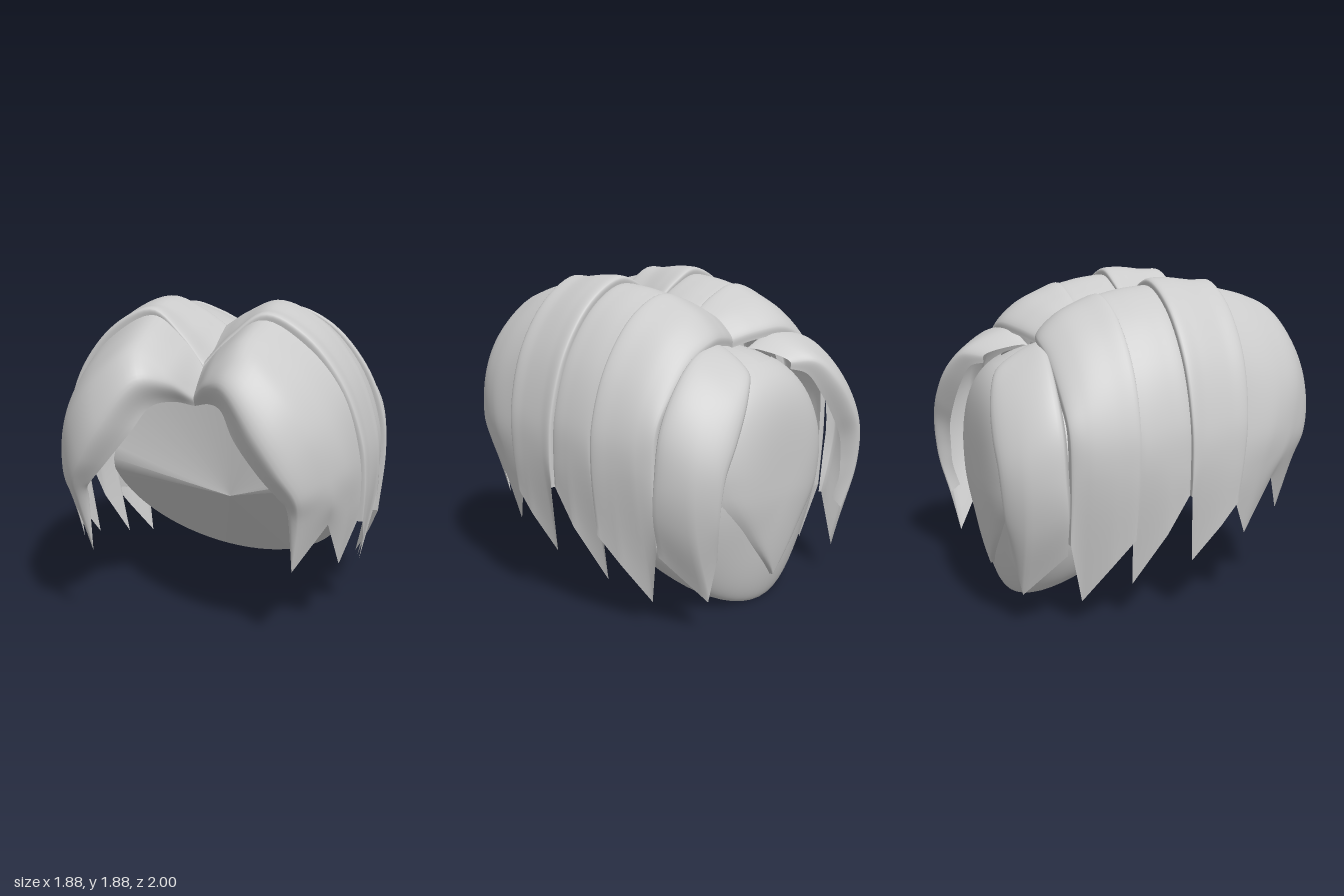
import * as THREE from 'three';

const V = (x, y, z) => new THREE.Vector3(x, y, z);
const hairMat = new THREE.MeshStandardMaterial({ color: 0xcccccc, side: THREE.DoubleSide });

// Surface from a rule f(u, v), u and v in 0..1
function gridMesh(name, nu, nv, f, flip = false) {
  const pos = [], idx = [];
  for (let i = 0; i <= nu; i++)
    for (let j = 0; j <= nv; j++) pos.push(...f(i / nu, j / nv).toArray());
  for (let i = 0; i < nu; i++)
    for (let j = 0; j < nv; j++) {
      const a = i * (nv + 1) + j, b = a + nv + 1;
      if (flip) idx.push(a, b, a + 1, b, b + 1, a + 1);
      else idx.push(a, a + 1, b, b, a + 1, b + 1);
    }
  const g = new THREE.BufferGeometry();
  g.setAttribute('position', new THREE.Float32BufferAttribute(pos, 3));
  g.setIndex(idx);
  g.computeVertexNormals();
  const mesh = new THREE.Mesh(g, hairMat);
  mesh.name = name;
  return mesh;
}

// Lock lofted through strand curves, smooth on top and sharply pointed at the ends
function lock(name, strands, side) {
  const curves = strands.map(s => new THREE.CatmullRomCurve3(s.map(p => V(...p))));
  const rows = 44, n = curves.length - 1;
  const cache = [];
  for (let j = 0; j <= rows; j++) {
    const pts = curves.map(c => c.getPoint(j / rows));
    cache.push({ pts, across: new THREE.CatmullRomCurve3(pts) });
  }
  return gridMesh(name, n * 7, rows, (u, v) => {
    const { pts, across } = cache[Math.round(v * rows)];
    const k = Math.min(Math.floor(u * n + 1e-6), n - 1);
    const straight = pts[k].clone().lerp(pts[k + 1], u * n - k);
    const p = across.getPoint(u).lerp(straight, v ** 4);
    p.x *= side;
    return p;
  }, side < 0);
}

// Arched strand: [z, half width, crown height, parting height, end z, end y, parting z]
function strand([z, w, top, yc, ze, ye, zc = z], tuck = 0) {
  const W = w - tuck, T = top - tuck, f = (T - 0.9) / 0.98, k = W / 0.94;
  const h = y => 0.9 + f * (y - 0.9), mix = t => z + (ze - z) * t;
  const xe = W * (1 - 0.35 * Math.max(0, 0.85 - ye) ** 2);
  return [
    [0, yc - tuck, zc], [0.14, (yc - tuck + T) / 2 + 0.01, (z + zc) / 2], [0.33, T, z],
    [0.58 * k, h(1.77), z], [0.8 * k, h(1.5), mix(0.1)], [0.92 * k, 1.15, mix(0.4)],
    [W, 0.9, mix(0.7)], [xe, ye, ze],
  ];
}

// Arched locks, each listed from its front edge to its back edge
const bands = {
  crownLock: [
    [0.42, 0.915, 1.85, 1.56, 0.33, 0.66, 0.5], [0.3, 0.925, 1.86, 1.61, 0.23, 0.53],
    [0.14, 0.935, 1.88, 1.68, 0.07, 0.33], [0.03, 0.94, 1.87, 1.71, 0.02, 0.74],
  ],
  middleLock: [
    [0.04, 0.91, 1.83, 1.69, 0.02, 0.74], [-0.08, 0.915, 1.83, 1.71, -0.1, 0.52],
    [-0.2, 0.905, 1.81, 1.7, -0.27, 0.22], [-0.29, 0.885, 1.78, 1.67, -0.3, 0.52],
  ],
  rearLock: [
    [-0.27, 0.93, 1.8, 1.68, -0.3, 0.52], [-0.4, 0.905, 1.76, 1.65, -0.42, 0.35],
    [-0.54, 0.87, 1.69, 1.6, -0.55, 0.14, -0.47], [-0.65, 0.82, 1.58, 1.53, -0.64, 0.5, -0.53],
  ],
};

// Fringe lock sweeping from the parting round the face
const fringe = [
  [[0, 1.57, 0.47], [0.12, 1.7, 0.42], [0.32, 1.82, 0.41], [0.6, 1.67, 0.4], [0.79, 1.42, 0.4], [0.89, 1.05, 0.34], [0.895, 0.8, 0.31], [0.87, 0.66, 0.33]],
  [[0, 1.5, 0.58], [0.12, 1.64, 0.65], [0.3, 1.75, 0.67], [0.56, 1.6, 0.68], [0.75, 1.35, 0.66], [0.85, 1.05, 0.58], [0.85, 0.8, 0.5], [0.79, 0.43, 0.44]],
  [[0, 1.45, 0.64], [0.12, 1.57, 0.78], [0.3, 1.67, 0.83], [0.52, 1.5, 0.88], [0.68, 1.28, 0.85], [0.77, 1.03, 0.76], [0.79, 0.87, 0.69], [0.76, 0.73, 0.63]],
  [[0, 1.41, 0.68], [0.1, 1.5, 0.8], [0.24, 1.53, 0.93], [0.43, 1.3, 1.0], [0.56, 1.1, 0.98], [0.64, 0.95, 0.92], [0.64, 0.8, 0.85], [0.59, 0.48, 0.77]],
  [[0, 1.36, 0.66], [0.1, 1.39, 0.72], [0.2, 1.38, 0.82], [0.29, 1.25, 0.9], [0.44, 1.06, 0.92], [0.55, 0.93, 0.89], [0.57, 0.9, 0.87], [0.58, 0.85, 0.83]],
];

// Back lock curling round the nape
const backLock = [
  [[0.08, 1.4, -0.53], [0.25, 1.48, -0.6], [0.5, 1.42, -0.64], [0.66, 1.3, -0.65], [0.78, 1.12, -0.66], [0.82, 0.9, -0.66], [0.81, 0.7, -0.65], [0.76, 0.46, -0.66]],
  [[0.1, 1.46, -0.55], [0.25, 1.54, -0.6], [0.52, 1.5, -0.66], [0.71, 1.35, -0.69], [0.83, 1.15, -0.7], [0.87, 0.9, -0.7], [0.86, 0.7, -0.68], [0.79, 0.45, -0.66]],
  [[0.15, 1.45, -0.68], [0.3, 1.49, -0.78], [0.5, 1.4, -0.85], [0.67, 1.25, -0.87], [0.77, 1.05, -0.89], [0.8, 0.85, -0.89], [0.76, 0.58, -0.88], [0.61, 0.19, -0.86]],
  [[0.2, 1.4, -0.8], [0.32, 1.4, -0.9], [0.45, 1.27, -0.97], [0.57, 1.1, -1.0], [0.65, 0.95, -1.0], [0.67, 0.8, -0.99], [0.66, 0.65, -0.97], [0.61, 0.45, -0.92]],
  [[0.2, 1.36, -0.8], [0.28, 1.33, -0.86], [0.38, 1.2, -0.9], [0.5, 1.02, -0.92], [0.57, 0.9, -0.92], [0.6, 0.78, -0.91], [0.61, 0.64, -0.9], [0.6, 0.5, -0.86]],
];

// Scalp cap: angle a runs round the rim, r is 1 at the rim and 0 at the back
function capPoint(a, r) {
  const c = Math.cos(a), ry = c > 0 ? 0.8 : 0.7;
  const rim = Math.min(-0.75 + 1.1 * (0.7 + ry * c), 0.15);
  const p = 3.2 + 1.6 * c;
  const depth = Math.max(0, 1 - r ** p) ** (1 / p);
  return V(0.72 * Math.sin(a) * r, 0.7 + ry * c * r, rim + (-0.9 - rim) * depth);
}

export function createModel() {
  const group = new THREE.Group();
  group.name = 'hair';

  for (const side of [1, -1]) {
    const tag = side > 0 ? 'Left' : 'Right';
    group.add(lock('fringe' + tag, fringe, side), lock('backLock' + tag, backLock, side));
    for (const [name, st] of Object.entries(bands)) {
      const strands = st.map(s => strand(s));
      strands.unshift(strand(st[0], 0.05));
      strands.push(strand(st[st.length - 1], 0.05));
      group.add(lock(name + tag, strands, side));
    }
  }

  // Rounded back of the cap
  group.add(gridMesh('scalpCap', 64, 28, (u, v) =>
    capPoint(u * Math.PI * 2, Math.cos(v * Math.PI / 2) ** 0.6), true));

  // Inner panel closing the cap, folded to a shallow peak
  const hub = V(0, 0.62, -0.02);
  group.add(gridMesh('innerPanel', 64, 1, (u, v) =>
    v === 0 ? hub.clone() : capPoint(u * Math.PI * 2, 1), true));

  // Raised pointed panel at the back of the head
  const halfWidth = new THREE.CatmullRomCurve3([
    V(0, 0.17, 0), V(0.27, 0.48, 0), V(0.52, 0.82, 0), V(0.45, 1.15, 0), V(0.28, 1.42, 0),
  ]);
  group.add(gridMesh('napePanel', 24, 32, (u, v) => {
    const e = halfWidth.getPoint(v), s = 2 * u - 1, x = e.x * s, y = e.y;
    const dx = x / 0.72, dy = (y - 0.7) / (y > 0.7 ? 0.8 : 0.7);
    const p = capPoint(Math.atan2(dx, dy), Math.min(1, Math.hypot(dx, dy)));
    p.z -= 0.025 * (1 - s ** 8);
    return p;
  }, true));

  return group;
}
